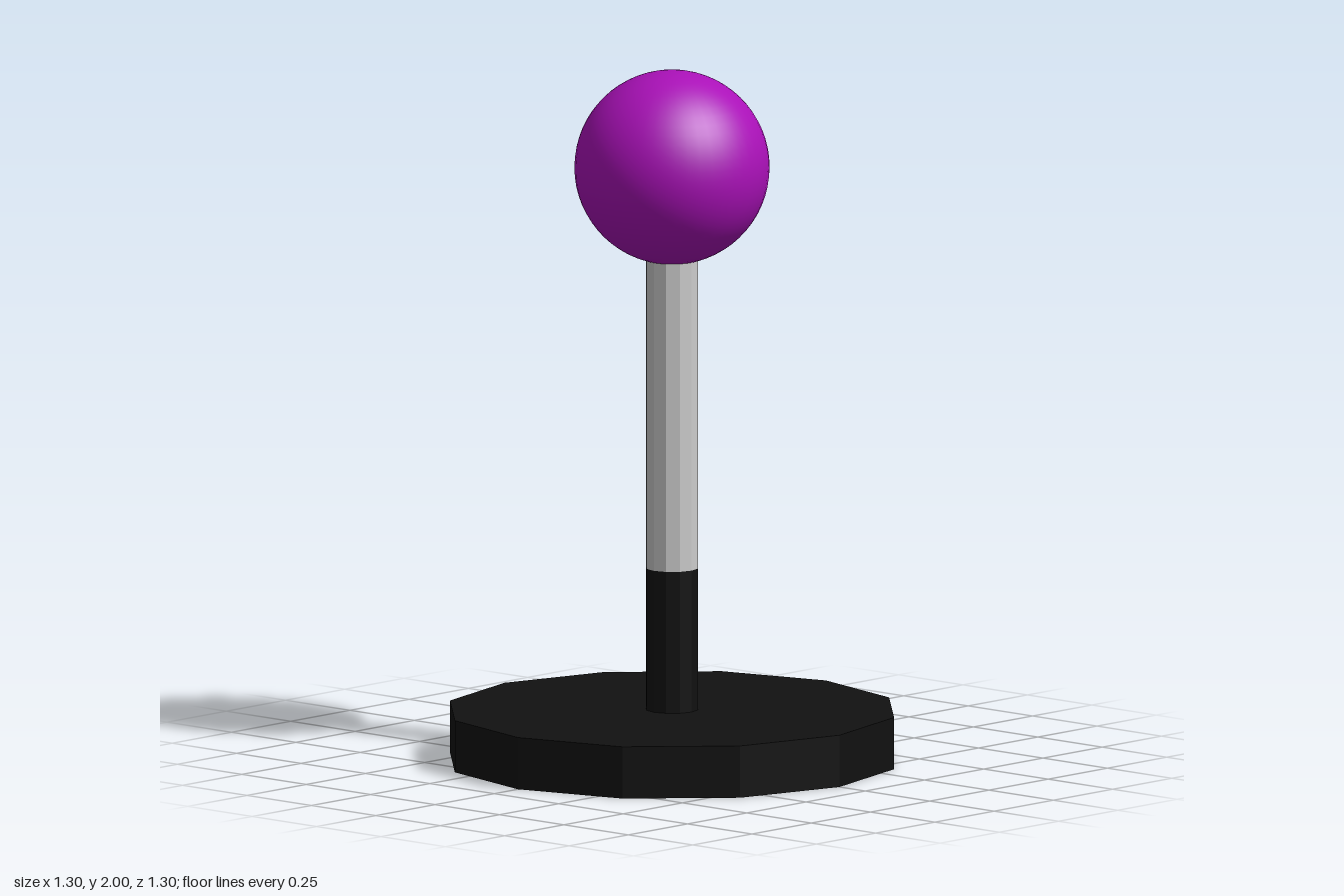
import * as THREE from 'three';

const black = new THREE.MeshStandardMaterial({ color: 0x111111, flatShading: true });
const grey = new THREE.MeshStandardMaterial({ color: 0xcccccc, flatShading: true });
const purple = new THREE.MeshStandardMaterial({ color: 0xaa11b8 });

// Upright twelve-sided cylinder spanning y0 to y1
function column(name, radius, y0, y1, material) {
  const mesh = new THREE.Mesh(new THREE.CylinderGeometry(radius, radius, y1 - y0, 12), material);
  mesh.name = name;
  mesh.position.y = (y0 + y1) / 2;
  return mesh;
}

export function createModel() {
  const model = new THREE.Group();
  model.name = 'ballLever';

  // Faceted foot, dark collar and bare rod
  model.add(column('base', 0.65, 0, 0.15, black));
  model.add(column('collar', 0.076, 0.15, 0.56, black));
  model.add(column('rod', 0.076, 0.56, 1.47, grey));

  // Smooth knob
  const knob = new THREE.Mesh(new THREE.SphereGeometry(0.279, 48, 32), purple);
  knob.name = 'knob';
  knob.position.y = 1.721;
  model.add(knob);

  return model;
}
